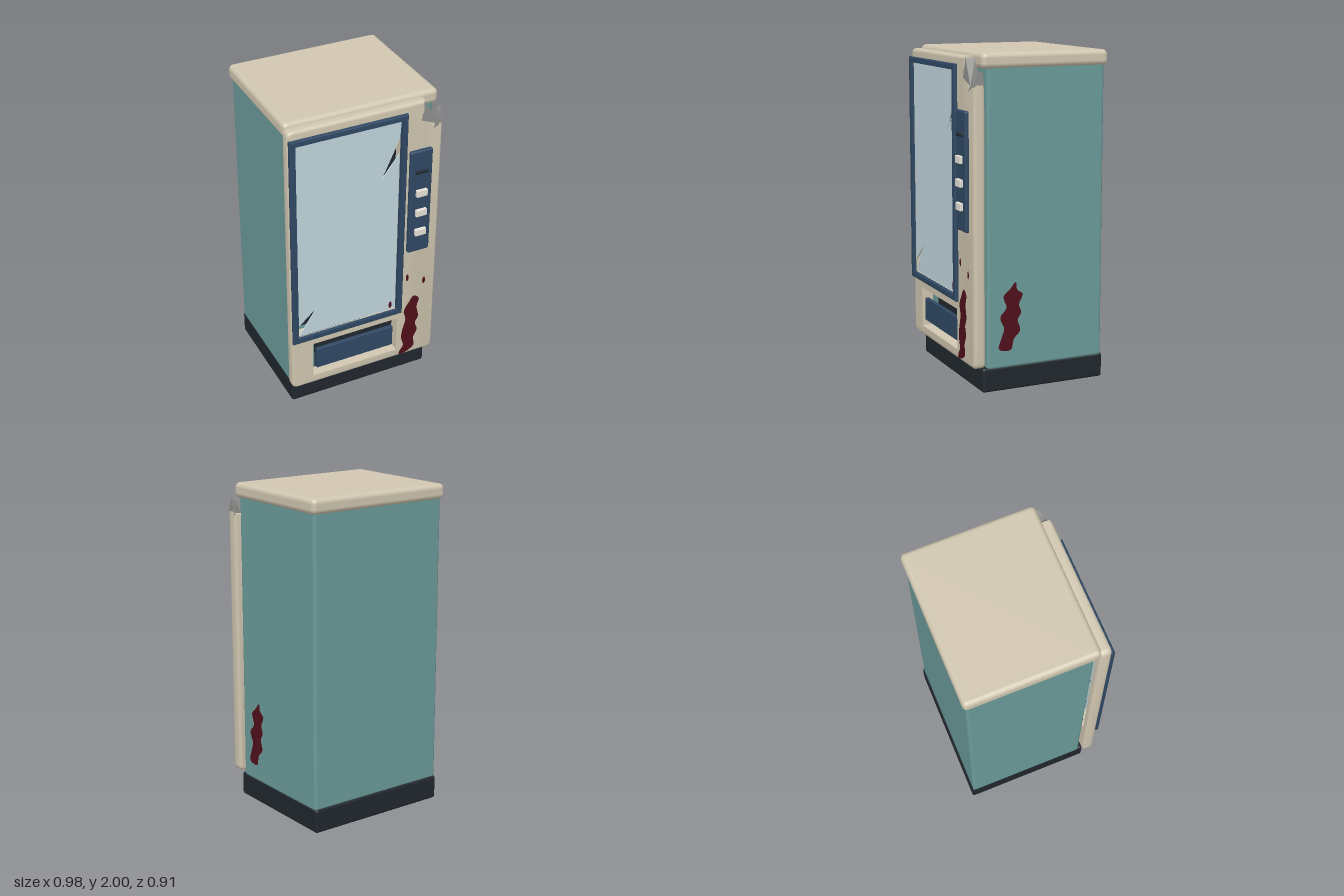
import * as THREE from 'three';
import { toCreasedNormals } from 'three/addons/utils/BufferGeometryUtils.js';
import { RoundedBoxGeometry } from 'three/addons/geometries/RoundedBoxGeometry.js';
import { ConvexGeometry } from 'three/addons/geometries/ConvexGeometry.js';

const paint = (color, extra = {}) => new THREE.MeshStandardMaterial({ color, ...extra });
const cream = paint(0xd0c6b0);
const teal = paint(0x6a9a98);
const blue = paint(0x2f4863);
const dark = paint(0x20272d);
const buttonMat = paint(0xe6e2d8);
const glassMat = paint(0xc0d6dd);
const stain = paint(0x500f1a, { side: THREE.DoubleSide });
const bareMetal = paint(0x8c8c8a, { flatShading: true });

export function createModel() {
  const model = new THREE.Group();
  model.name = 'vendingMachine';

  const add = (name, geometry, material) => {
    const mesh = new THREE.Mesh(geometry, material);
    mesh.name = name;
    model.add(mesh);
    return mesh;
  };

  // Rounded block given by its limits on each axis
  const block = (name, material, [x0, x1], [y0, y1], [z0, z1], radius = 0.005) =>
    add(name, new RoundedBoxGeometry(x1 - x0, y1 - y0, z1 - z0, 3, radius), material)
      .position.set((x0 + x1) / 2, (y0 + y1) / 2, (z0 + z1) / 2);

  const points2 = list => list.map(p => new THREE.Vector2(...p));

  // Plate cut from an outline: outer edges rounded, rectangular openings kept square
  const plate = (name, material, shape, openings, z0, z1, bevel, segments = 4) => {
    for (const [x0, x1, y0, y1] of openings) {
      shape.holes.push(new THREE.Path(points2([[x0, y0], [x1, y0], [x1, y1], [x0, y1]])));
    }
    const geometry = new THREE.ExtrudeGeometry(shape, {
      depth: z1 - z0 - 2 * bevel, bevelEnabled: bevel > 0, bevelSize: bevel,
      bevelThickness: bevel, bevelOffset: -bevel, bevelSegments: segments, curveSegments: 6,
    });
    geometry.translate(0, 0, z0 + bevel);
    const position = geometry.attributes.position;
    const reach = bevel + 0.001;
    for (let i = 0; i < position.count; i++) {
      const x = position.getX(i), y = position.getY(i);
      for (const [x0, x1, y0, y1] of openings) {
        if (x > x0 - reach && x < x1 + reach && y > y0 - reach && y < y1 + reach) {
          position.setXY(i, THREE.MathUtils.clamp(x, x0, x1), THREE.MathUtils.clamp(y, y0, y1));
        }
      }
    }
    return add(name, toCreasedNormals(geometry, 0.6), material);
  };

  // Cabinet
  block('base', dark, [-0.467, 0.467], [0, 0.148], [-0.447, 0.35], 0.015);
  block('cabinet', teal, [-0.468, 0.468], [0.135, 1.94], [-0.438, 0.321], 0.02);
  block('topCap', cream, [-0.485, 0.485], [1.908, 2], [-0.455, 0.355], 0.03);

  // Dark recesses and shelf edges behind the door openings
  block('windowRecess', dark, [-0.4, 0.235], [0.56, 1.91], [0.3, 0.323], 0.001);
  block('trayRecess', dark, [-0.3, 0.245], [0.2, 0.48], [0.3, 0.323], 0.001);
  for (const y of [0.73, 1.1, 1.475]) {
    block('shelf', blue, [-0.45, 0.225], [y - 0.008, y + 0.008], [0.3, 0.329], 0.002);
  }

  // Door with window and tray openings and a torn upper corner
  const door = new THREE.Shape();
  door.moveTo(-0.45, 0.155);
  door.lineTo(0.45, 0.155);
  door.quadraticCurveTo(0.489, 0.155, 0.489, 0.193);
  door.lineTo(0.489, 1.82);
  door.lineTo(0.43, 1.815);
  door.lineTo(0.378, 1.875);
  door.lineTo(0.37, 1.977);
  door.lineTo(-0.45, 1.977);
  door.quadraticCurveTo(-0.489, 1.977, -0.489, 1.94);
  door.lineTo(-0.489, 0.193);
  door.quadraticCurveTo(-0.489, 0.155, -0.45, 0.155);
  plate('door', cream, door,
    [[-0.445, 0.225, 0.55, 1.894], [-0.35, 0.23, 0.215, 0.465]], 0.34, 0.413, 0.02);

  // Crumpled metal at the torn corner
  const crumple = points => add('tornCorner',
    new ConvexGeometry(points.map(p => new THREE.Vector3(...p))), bareMetal);
  crumple([[0.362, 1.975, 0.408], [0.347, 1.855, 0.416], [0.455, 1.81, 0.416],
    [0.405, 1.9, 0.4], [0.37, 1.975, 0.35], [0.37, 1.86, 0.345], [0.43, 1.82, 0.35]]);
  crumple([[0.425, 1.785, 0.416], [0.488, 1.81, 0.41], [0.488, 1.9, 0.385],
    [0.455, 1.86, 0.405], [0.487, 1.8, 0.345], [0.48, 1.89, 0.35], [0.44, 1.81, 0.345]]);

  // Window frame
  const frame = new THREE.Shape(points2(
    [[-0.485, 0.515], [0.253, 0.515], [0.253, 1.926], [-0.485, 1.926]]));
  plate('windowFrame', blue, frame, [[-0.45, 0.217, 0.55, 1.892]], 0.405, 0.434, 0.009, 3);

  // Cracked pane with two missing slivers
  const pane = new THREE.Shape(points2([
    [-0.4, 0.56], [0.21, 0.56], [0.21, 1.67], [0.09, 1.51], [0.21, 1.775],
    [0.217, 1.892], [-0.443, 1.892], [-0.443, 0.63], [-0.31, 0.75], [-0.435, 0.56],
  ]));
  plate('windowGlass', glassMat, pane, [], 0.405, 0.414, 0);

  // Delivery flap
  block('deliveryFlap', blue, [-0.32, 0.205], [0.26, 0.405], [0.38, 0.405], 0.004);

  // Control panel
  block('controlPanel', blue, [0.275, 0.42], [0.963, 1.668], [0.405, 0.437], 0.012);
  block('coinSlot', dark, [0.305, 0.39], [1.519, 1.535], [0.43, 0.449], 0.003);
  for (const y of [1.11, 1.248, 1.385]) {
    block('button', buttonMat, [0.313, 0.385], [y - 0.023, y + 0.023], [0.43, 0.456], 0.004);
  }

  // Flat stains with wavy outlines
  const splash = (name, points) => {
    const curve = new THREE.CatmullRomCurve3(
      points.map(([x, y]) => new THREE.Vector3(x, y, 0)), true);
    const outline = curve.getPoints(80).slice(0, -1).map(p => new THREE.Vector2(p.x, p.y));
    return add(name, new THREE.ShapeGeometry(new THREE.Shape(outline)), stain);
  };
  splash('frontStain', [
    [0.34, 0.61], [0.378, 0.58], [0.365, 0.52], [0.378, 0.44], [0.358, 0.39],
    [0.373, 0.335], [0.348, 0.275], [0.355, 0.215], [0.305, 0.178], [0.252, 0.17],
    [0.25, 0.19], [0.277, 0.235], [0.262, 0.3], [0.268, 0.36], [0.288, 0.44],
    [0.275, 0.51], [0.305, 0.565],
  ]).position.z = 0.416;
  const side = splash('sideStain', [
    [-0.14, 0.655], [-0.13, 0.61], [-0.095, 0.58], [-0.118, 0.52], [-0.105, 0.468],
    [-0.127, 0.425], [-0.11, 0.363], [-0.152, 0.31], [-0.172, 0.247], [-0.248, 0.258],
    [-0.232, 0.325], [-0.215, 0.38], [-0.24, 0.45], [-0.2, 0.505], [-0.218, 0.575],
    [-0.178, 0.615],
  ]);
  side.rotation.y = Math.PI / 2;
  side.position.x = 0.471;
  for (const [x, y, z] of [[0.29, 0.763, 0.416], [0.407, 0.71, 0.416], [0.175, 0.595, 0.417]]) {
    const drop = add('stainDrop', new THREE.CircleGeometry(1, 16), stain);
    drop.scale.set(0.01, 0.025, 1);
    drop.position.set(x, y, z);
  }

  return model;
}
